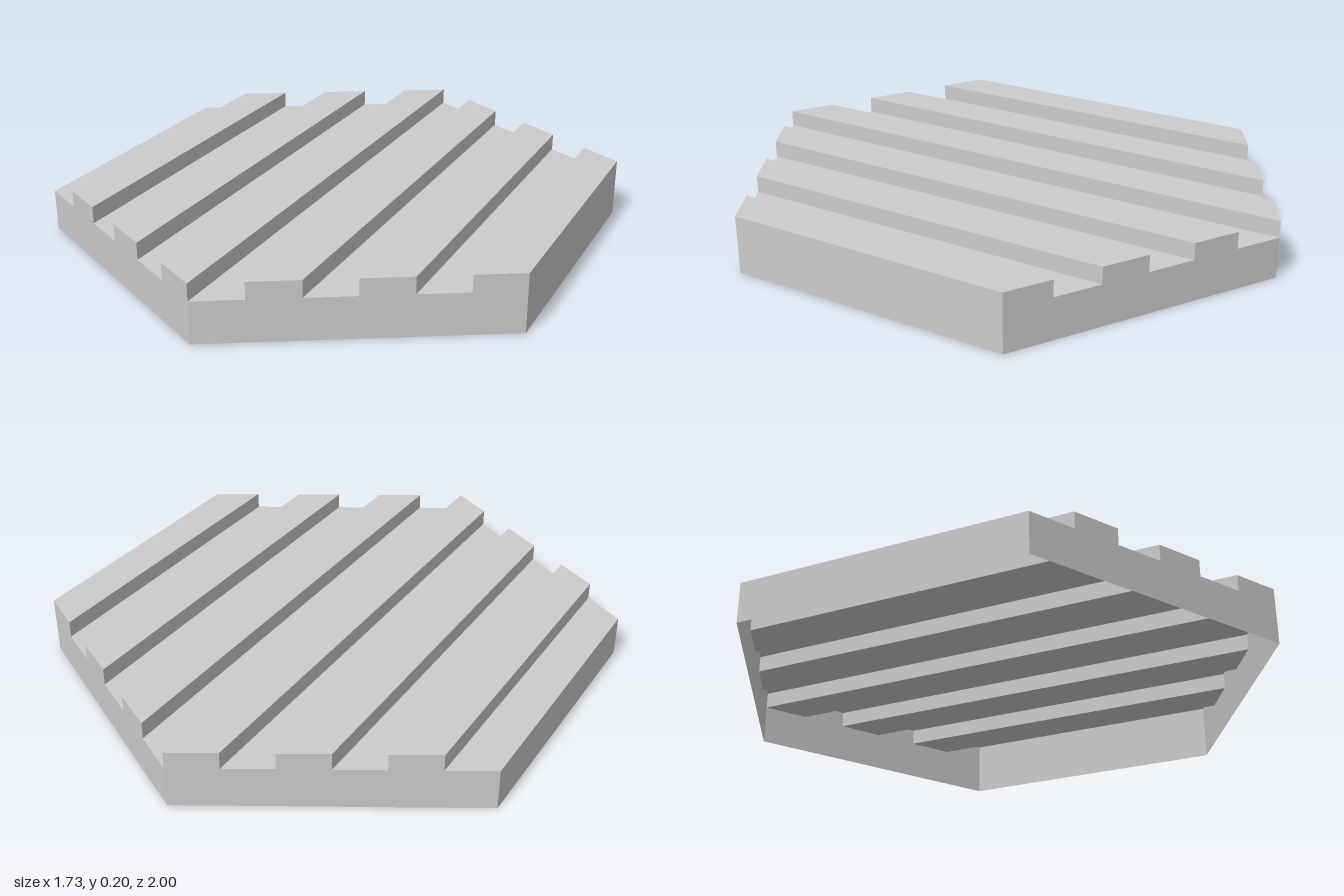
import * as THREE from 'three';

const HALF = Math.sqrt(3) / 2; // half width across the flats
const STRIPS = 12;
const LOW = 0.142;
const HIGH = 0.2;

const stripX = (i) => -HALF + (2 * HALF * i) / STRIPS;
const stripTop = (i) => (i % 2 ? HIGH : LOW);
const edgeZ = (x) => 1 - Math.abs(x) / Math.sqrt(3); // hexagon outline

// Mesh from four-cornered faces, corners counter-clockwise seen from outside
function quadMesh(name, quads) {
  const points = quads.flatMap(([a, b, c, d]) => [a, b, c, a, c, d]).flat();
  const geometry = new THREE.BufferGeometry();
  geometry.setAttribute('position', new THREE.Float32BufferAttribute(points, 3));
  geometry.computeVertexNormals();
  const material = new THREE.MeshStandardMaterial({
    color: 0xcccccc, flatShading: true, side: THREE.DoubleSide,
  });
  const mesh = new THREE.Mesh(geometry, material);
  mesh.name = name;
  return mesh;
}

// Upright face across the plate at x, facing +x (side = 1) or -x (side = -1)
function crossFace(x, y0, y1, side) {
  const z = edgeZ(x) * side;
  return [[x, y0, z], [x, y0, -z], [x, y1, -z], [x, y1, z]];
}

export function createModel() {
  const group = new THREE.Group();
  group.name = 'ribbedHexagonPlate';
  const treads = [], risers = [], slantedWalls = [];

  for (let i = 0; i < STRIPS; i++) {
    const x0 = stripX(i), x1 = stripX(i + 1), y = stripTop(i);
    const z0 = edgeZ(x0), z1 = edgeZ(x1);

    // Flat top of the strip
    treads.push([[x0, y, z0], [x1, y, z1], [x1, y, -z1], [x0, y, -z0]]);

    // Step to the next strip
    if (i < STRIPS - 1) risers.push(crossFace(x1, LOW, HIGH, i % 2 ? 1 : -1));

    // Front and back skirt under the strip
    slantedWalls.push(
      [[x0, 0, z0], [x1, 0, z1], [x1, y, z1], [x0, y, z0]],
      [[x1, 0, -z1], [x0, 0, -z0], [x0, y, -z0], [x1, y, -z1]],
    );
  }

  // Straight skirts on the two sides; the underside stays open
  const sideWalls = [
    crossFace(-HALF, 0, stripTop(0), -1),
    crossFace(HALF, 0, stripTop(STRIPS - 1), 1),
  ];

  group.add(
    quadMesh('stripTops', treads),
    quadMesh('ribSides', risers),
    quadMesh('slantedWalls', slantedWalls),
    quadMesh('sideWalls', sideWalls),
  );
  return group;
}
